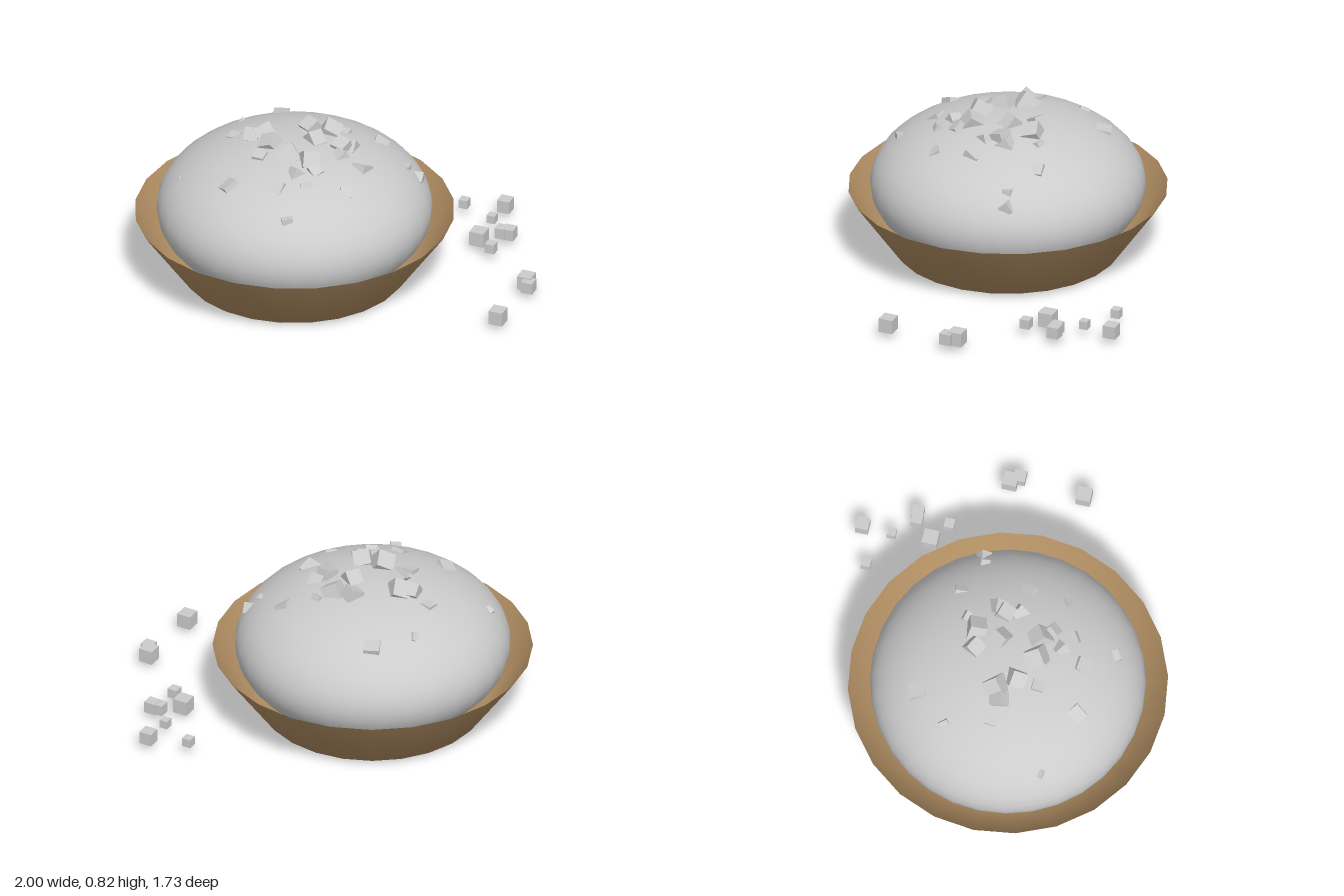
import * as THREE from 'three';

const CENTER = { x: -0.205, z: 0.065 };
const DOME = { y: 0.38, radius: 0.685, height: 0.372 };

// Loose cubes beside the bowl: x, z, size
const LOOSE = [
  [0.36, -0.78, 0.046], [0.555, -0.84, 0.066], [0.545, -0.69, 0.043],
  [0.68, -0.587, 0.06], [0.64, -0.582, 0.056], [0.555, -0.495, 0.076],
  [0.65, -0.42, 0.05], [0.94, -0.175, 0.073], [0.968, -0.132, 0.06],
  [0.94, 0.2, 0.073],
];

// Chunks on the dome: x, z, size, height of centre above the surface (in sizes)
const CHUNKS = [
  [-0.19, -0.11, 0.075, 0], [-0.09, -0.12, 0.085, 0], [-0.12, 0.01, 0.075, 0],
  [-0.37, 0.04, 0.09, 0], [-0.43, 0.07, 0.07, 0.1], [-0.31, 0.13, 0.08, 0],
  [-0.18, 0.205, 0.09, 0.1], [-0.07, 0.2, 0.085, 0], [0.02, 0, 0.075, 0],
  [0.05, -0.04, 0.07, -0.2], [0.04, 0.07, 0.07, -0.3], [-0.02, 0.25, 0.06, -0.1],
  [-0.1, 0.31, 0.06, -0.2], [-0.15, 0.42, 0.07, -0.4], [-0.32, 0.24, 0.06, -0.25],
  [-0.39, 0.45, 0.08, -0.4], [0.16, 0.09, 0.08, -0.4], [-0.44, -0.34, 0.08, -0.42],
  [0.12, -0.24, 0.07, -0.45], [-0.53, 0.05, 0.06, -0.4], [-0.58, -0.17, 0.05, -0.5],
  [-0.03, -0.18, 0.05, -0.35], [0.355, -0.18, 0.055, -0.4], [0.3, -0.16, 0.045, -0.45],
  [0.16, 0.29, 0.055, -0.45], [-0.04, 0.57, 0.055, -0.45], [-0.02, 0.36, 0.06, -0.4],
  [-0.71, 0.34, 0.04, -0.5],
];

function seeded(seed) {
  return () => {
    seed = (seed * 16807) % 2147483647;
    return seed / 2147483647;
  };
}

export function createModel() {
  const model = new THREE.Group();
  const grey = new THREE.MeshStandardMaterial({ color: 0xcccccc });
  const brown = new THREE.MeshStandardMaterial({ color: 0xb08d62, side: THREE.DoubleSide });

  const add = (name, geometry, material, x, y, z) => {
    const mesh = new THREE.Mesh(geometry, material);
    mesh.name = name;
    mesh.position.set(x, y, z);
    model.add(mesh);
    return mesh;
  };

  // Thin flared bowl, open at the top
  const profile = [[0, 0.03], [0.56, 0.03], [0.795, 0.36]].map(([r, y]) => new THREE.Vector2(r, y));
  add('bowl', new THREE.LatheGeometry(profile, 24), brown, CENTER.x, 0, CENTER.z);

  // Flattened ball filling the bowl and showing through its base
  const dome = add('filling', new THREE.SphereGeometry(1, 32, 24), grey, CENTER.x, DOME.y, CENTER.z);
  dome.scale.set(DOME.radius, DOME.height, DOME.radius);

  // Tumbled chunks, partly sunk into the dome
  const box = new THREE.BoxGeometry(1, 1, 1);
  const random = seeded(71);
  for (const [x, z, size, lift] of CHUNKS) {
    const d = Math.hypot(x - CENTER.x, z - CENTER.z) / DOME.radius;
    const y = DOME.y + DOME.height * Math.sqrt(1 - d * d) + lift * size;
    const chunk = add('toppingChunk', box, grey, x, y, z);
    chunk.scale.setScalar(size);
    chunk.rotation.set(random() * Math.PI, random() * Math.PI, random() * Math.PI);
  }

  // Upright cubes scattered at the side
  for (const [x, z, size] of LOOSE) {
    add('looseCube', box, grey, x, 0.073, z).scale.setScalar(size);
  }

  return model;
}
